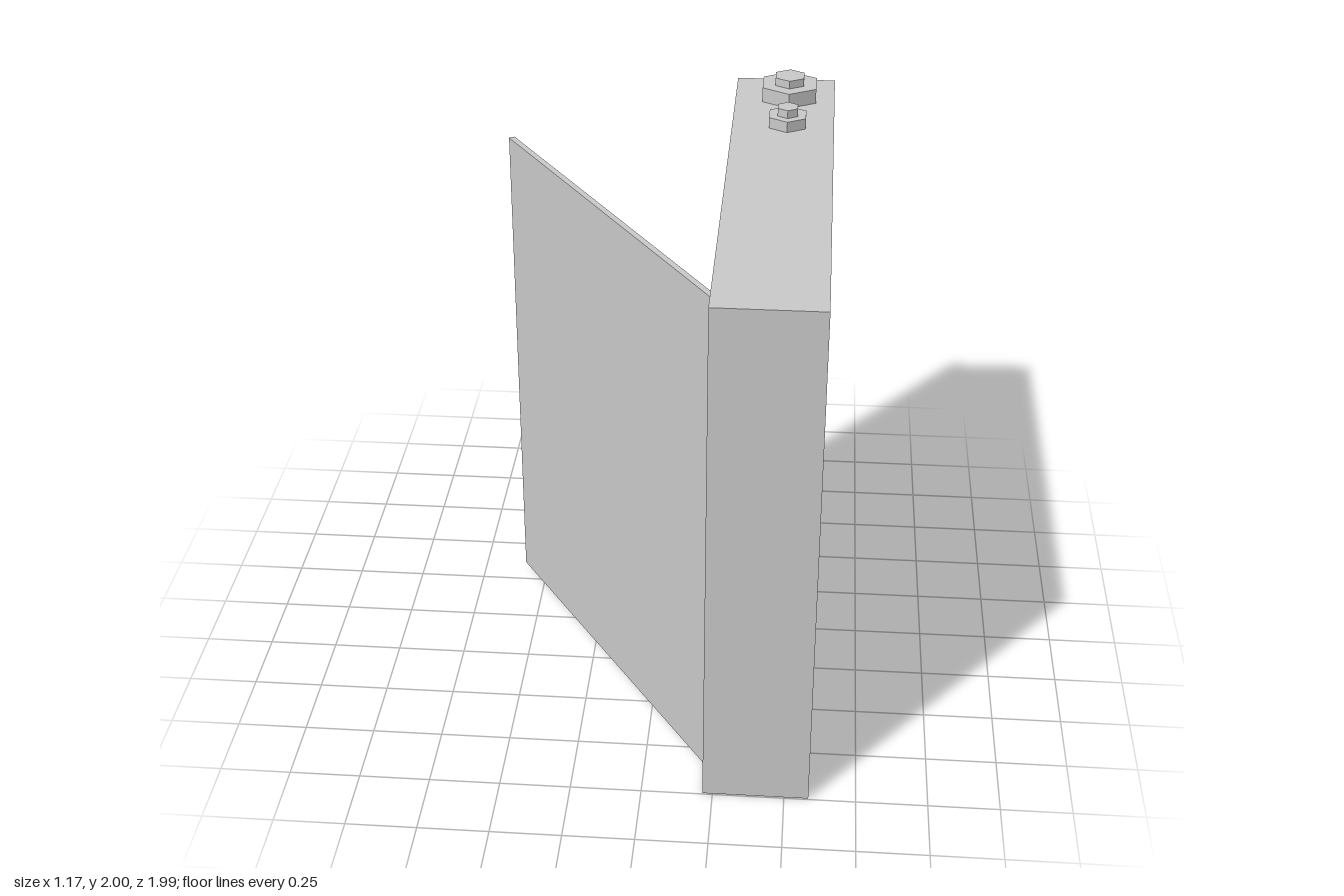
import * as THREE from 'three';

const material = new THREE.MeshStandardMaterial({ color: 0xcccccc, flatShading: true });

function addMesh(parent, name, geometry, x = 0, y = 0, z = 0) {
  const mesh = new THREE.Mesh(geometry, material);
  mesh.name = name;
  mesh.position.set(x, y, z);
  parent.add(mesh);
  return mesh;
}

// Hexagonal nut with a smaller hexagonal bolt end, standing on its base along +y
function hexFitting(name, nutRadius, nutHeight, boltRadius, boltHeight) {
  const fitting = new THREE.Group();
  fitting.name = name;
  addMesh(fitting, 'nut', new THREE.CylinderGeometry(nutRadius, nutRadius, nutHeight, 6), 0, nutHeight / 2, 0);
  addMesh(fitting, 'boltEnd', new THREE.CylinderGeometry(boltRadius, boltRadius, boltHeight, 6),
    0, nutHeight + boltHeight / 2, 0);
  return fitting;
}

function rectangle(PathType, halfWidth, bottom, top) {
  return new PathType([
    [-halfWidth, bottom], [halfWidth, bottom], [halfWidth, top], [-halfWidth, top],
  ].map(([x, y]) => new THREE.Vector2(x, y)));
}

export function createModel() {
  const model = new THREE.Group();
  model.name = 'wallCabinet';

  const height = 1.915, length = 1.91, midZ = 0.04;
  const openX = 0.215, closedX = 0.585, recess = 0.054;
  const fittingX = 0.416, backZ = midZ - length / 2;

  // Cabinet body: solid slab behind a frame with a shallow rectangular opening
  const slabWidth = closedX - openX - recess;
  addMesh(model, 'body', new THREE.BoxGeometry(slabWidth, height, length),
    closedX - slabWidth / 2, height / 2, midZ);

  const frameShape = rectangle(THREE.Shape, length / 2, 0, height);
  frameShape.holes.push(rectangle(THREE.Path, 0.755, 0.135, 1.78));
  const frame = addMesh(model, 'openingFrame',
    new THREE.ExtrudeGeometry(frameShape, { depth: recess, bevelEnabled: false }),
    openX + recess, 0, midZ);
  frame.rotation.y = -Math.PI / 2;

  // Open door: a thin panel swung out from the front edge of the frame
  const freeEdge = new THREE.Vector2(-0.577, -0.328);
  const hingeEdge = new THREE.Vector2(0.225, 0.872);
  const span = hingeEdge.clone().sub(freeEdge);
  const door = addMesh(model, 'door', new THREE.BoxGeometry(span.length(), 1.86, 0.022),
    (freeEdge.x + hingeEdge.x) / 2, 0.96, (freeEdge.y + hingeEdge.y) / 2);
  door.rotation.y = -Math.atan2(span.y, span.x);

  // Cable fittings: two on the top, one on the back
  const largeTop = hexFitting('largeTopFitting', 0.115, 0.055, 0.061, 0.03);
  largeTop.position.set(fittingX, height, -0.736);

  const smallTop = hexFitting('smallTopFitting', 0.077, 0.04, 0.042, 0.03);
  smallTop.position.set(fittingX, height, -0.466);

  const back = hexFitting('backFitting', 0.115, 0.05, 0.061, 0.03);
  back.position.set(fittingX, 1.743, backZ);
  back.rotation.set(-Math.PI / 2, Math.PI / 6, 0);

  model.add(largeTop, smallTop, back);
  return model;
}
